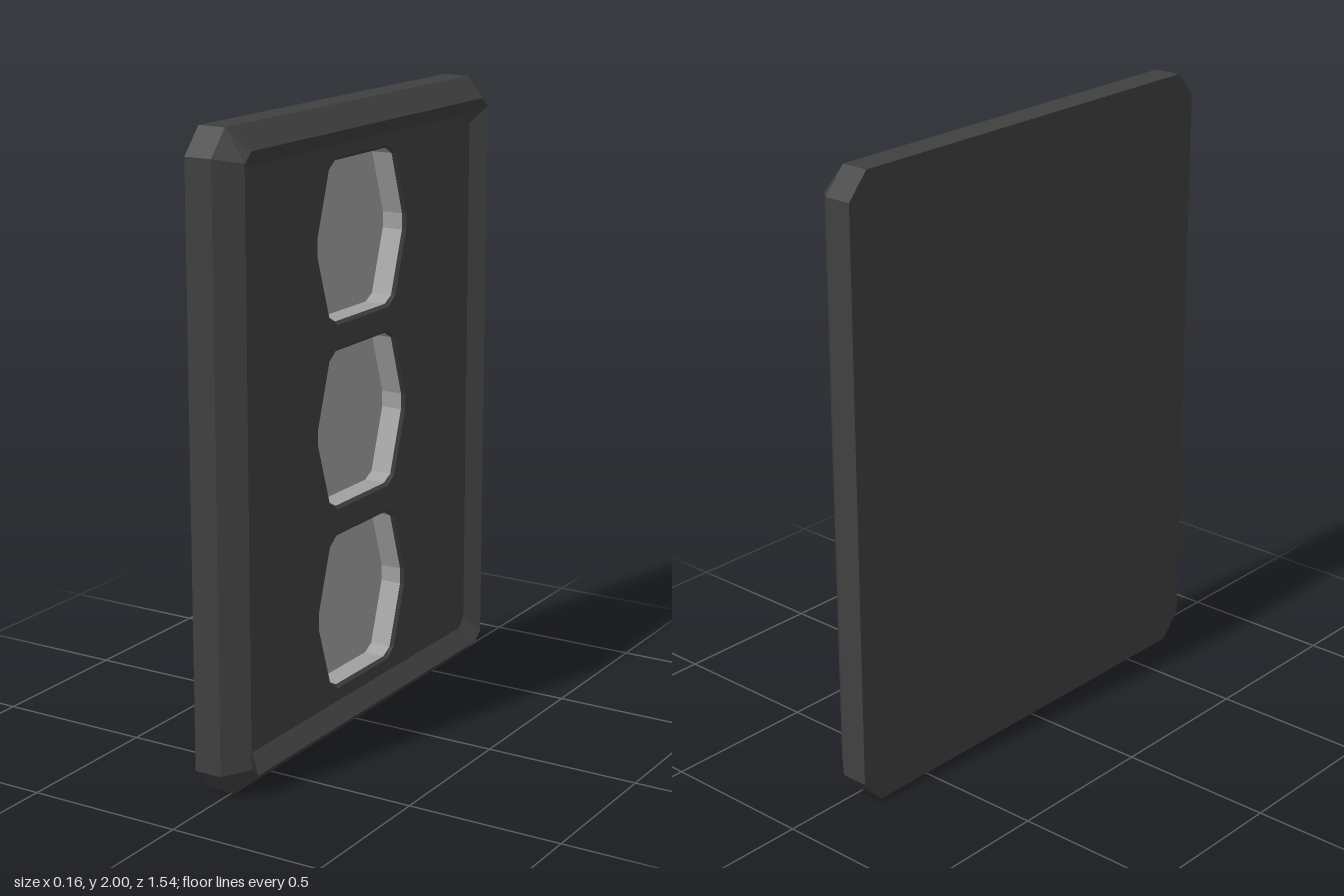
import * as THREE from 'three';

const housingDark = new THREE.MeshStandardMaterial({ color: 0x404040 });
const lensGrey = new THREE.MeshStandardMaterial({ color: 0xa0a0a0 });

// Mirror one quadrant of points into a closed counter-clockwise outline
function outline(quadrant, cy) {
  const back = [...quadrant].reverse();
  return [
    ...quadrant.map(([x, y]) => [x, cy + y]),
    ...back.map(([x, y]) => [-x, cy + y]),
    ...quadrant.map(([x, y]) => [-x, cy - y]),
    ...back.map(([x, y]) => [x, cy - y]),
  ];
}

// Rectangle with cut corners
const panel = (w, h, cutX, cutY) => outline([[w, h - cutY], [w - cutX, h]], 1);

// Six-sided opening with blunted corners
const opening = (cy, inset) => outline(
  [[0.262 - inset, 0.026], [0.196 - inset, 0.225], [0.152 - inset * 0.5, 0.256 - inset]], cy);

// Flat-shaded bands joining successive outlines, each [points, depth]
function loft(rings) {
  const pos = [];
  for (let r = 0; r < rings.length - 1; r++) {
    const [a, za] = rings[r];
    const [b, zb] = rings[r + 1];
    a.forEach((p, i) => {
      const j = (i + 1) % a.length;
      const A = [...p, za], B = [...a[j], za], C = [...b[j], zb], D = [...b[i], zb];
      pos.push(...A, ...B, ...C, ...A, ...C, ...D);
    });
  }
  const g = new THREE.BufferGeometry();
  g.setAttribute('position', new THREE.Float32BufferAttribute(pos, 3));
  g.computeVertexNormals();
  return g;
}

const toVectors = (pts) => pts.map(([x, y]) => new THREE.Vector2(x, y));

// Flat plate with optional holes
function plate(pts, z, holes = []) {
  const shape = new THREE.Shape(toVectors(pts));
  holes.forEach((h) => shape.holes.push(new THREE.Path(toVectors(h))));
  return new THREE.ShapeGeometry(shape).translate(0, 0, z);
}

export function createModel() {
  const model = new THREE.Group();
  model.name = 'signalPanel';
  const add = (name, geometry, material) => {
    const mesh = new THREE.Mesh(geometry, material);
    mesh.name = name;
    model.add(mesh);
  };

  const backZ = -0.08, wallZ = 0.01, ridgeZ = 0.08, faceZ = 0.035, pocketZ = -0.045;
  const centres = [0.415, 1.005, 1.59];
  const outer = panel(0.77, 1, 0.07, 0.08);
  const ridge = panel(0.708, 0.935, 0.035, 0.03);
  const face = panel(0.668, 0.883, 0.03, 0.03);

  // Frame: side wall, outer bevel and inner slope
  add('frame', loft([[outer, backZ], [outer, wallZ], [ridge, ridgeZ], [face, faceZ]]), housingDark);
  add('backPlate', plate(outer, backZ).scale(-1, 1, 1).rotateY(0), housingDark);
  model.getObjectByName('backPlate').geometry.dispose();
  model.getObjectByName('backPlate').geometry = plate(outer, -backZ).rotateY(Math.PI);

  // Recessed face with three openings
  add('facePlate', plate(face, faceZ, centres.map((cy) => opening(cy, 0))), housingDark);

  // Dark rim and grey pocket for each opening
  centres.forEach((cy, i) => {
    const rim = opening(cy, 0);
    const inner = opening(cy, 0.01);
    const rimZ = faceZ - 0.01;
    add(`rim${i + 1}`, loft([[rim, faceZ], [inner, rimZ]]), housingDark);
    add(`pocketWall${i + 1}`, loft([[inner, rimZ], [inner, pocketZ]]), lensGrey);
    add(`pocketFloor${i + 1}`, plate(inner, pocketZ), lensGrey);
  });

  // Turn the panel so its face looks toward +x
  model.rotation.y = Math.PI / 2;
  const root = new THREE.Group();
  root.name = 'panel';
  root.add(model);
  return root;
}
